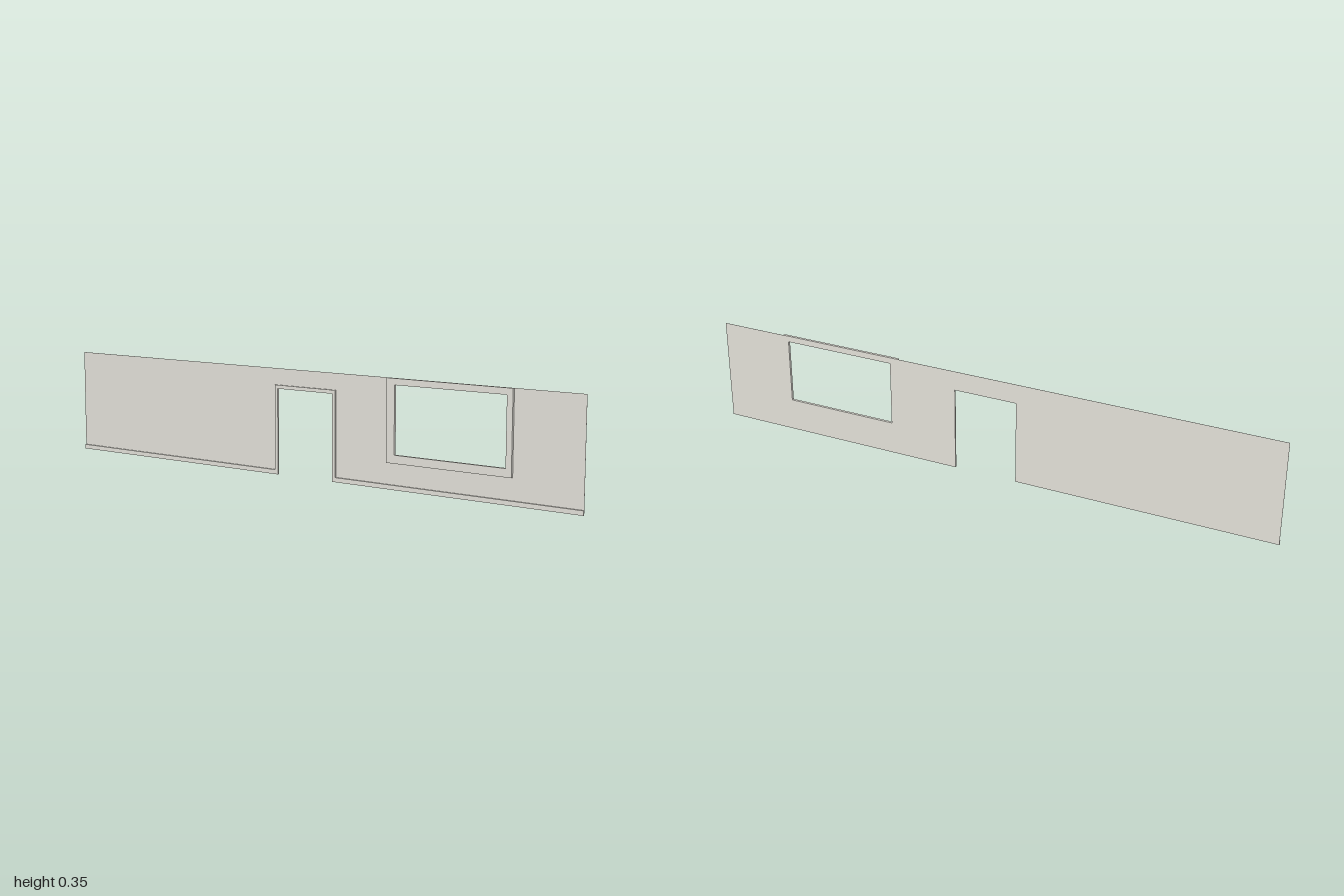
import * as THREE from 'three';

// Main dimensions
const H = 0.354, DOOR = 0.11, DOOR_TOP = 0.287;
const BACK = -0.0045, WALL = -0.0041, TRIM = 0.0015, FRAME = 0.0045;
const WIN = [0.35, 0.112, 0.745, 0.333];
const WIN_OUTER = [0.32, 0.085, 0.765, H];

const outline = (pts) => pts.map(([x, y]) => new THREE.Vector2(x, y));
const rect = ([x0, y0, x1, y1]) => outline([[x0, y0], [x1, y0], [x1, y1], [x0, y1]]);

// Flat plate cut from an outline, between two depths
function plate(name, points, hole, z0, z1, material) {
  const shape = new THREE.Shape(points);
  if (hole) shape.holes.push(new THREE.Path(hole));
  const geometry = new THREE.ExtrudeGeometry(shape, { depth: z1 - z0, bevelEnabled: false });
  geometry.translate(0, 0, z0);
  const mesh = new THREE.Mesh(geometry, material);
  mesh.name = name;
  return mesh;
}

export function createModel() {
  const group = new THREE.Group();
  group.name = 'wall';
  const plaster = new THREE.MeshStandardMaterial({ color: 0xe2e0d8 });
  plaster.name = 'pale warm grey';

  // Thin wall sheet, notched for the doorway and cut for the window
  group.add(plate('wallPanel', outline([
    [-1, 0], [-DOOR, 0], [-DOOR, DOOR_TOP], [DOOR, DOOR_TOP],
    [DOOR, 0], [1, 0], [1, H], [-1, H],
  ]), rect(WIN), BACK, WALL, plaster));

  // Skirting running along the floor and up around the doorway
  const s = 0.015, t = 0.012;
  group.add(plate('skirtingAndDoorTrim', outline([
    [-1, 0], [-DOOR, 0], [-DOOR, DOOR_TOP], [DOOR, DOOR_TOP], [DOOR, 0], [1, 0],
    [1, s], [DOOR + t, s], [DOOR + t, DOOR_TOP + t],
    [-DOOR - t, DOOR_TOP + t], [-DOOR - t, s], [-1, s],
  ]), null, WALL, TRIM, plaster));

  // Raised window surround on the front
  group.add(plate('windowFrame', rect(WIN_OUTER), rect(WIN), WALL, FRAME, plaster));

  return group;
}
